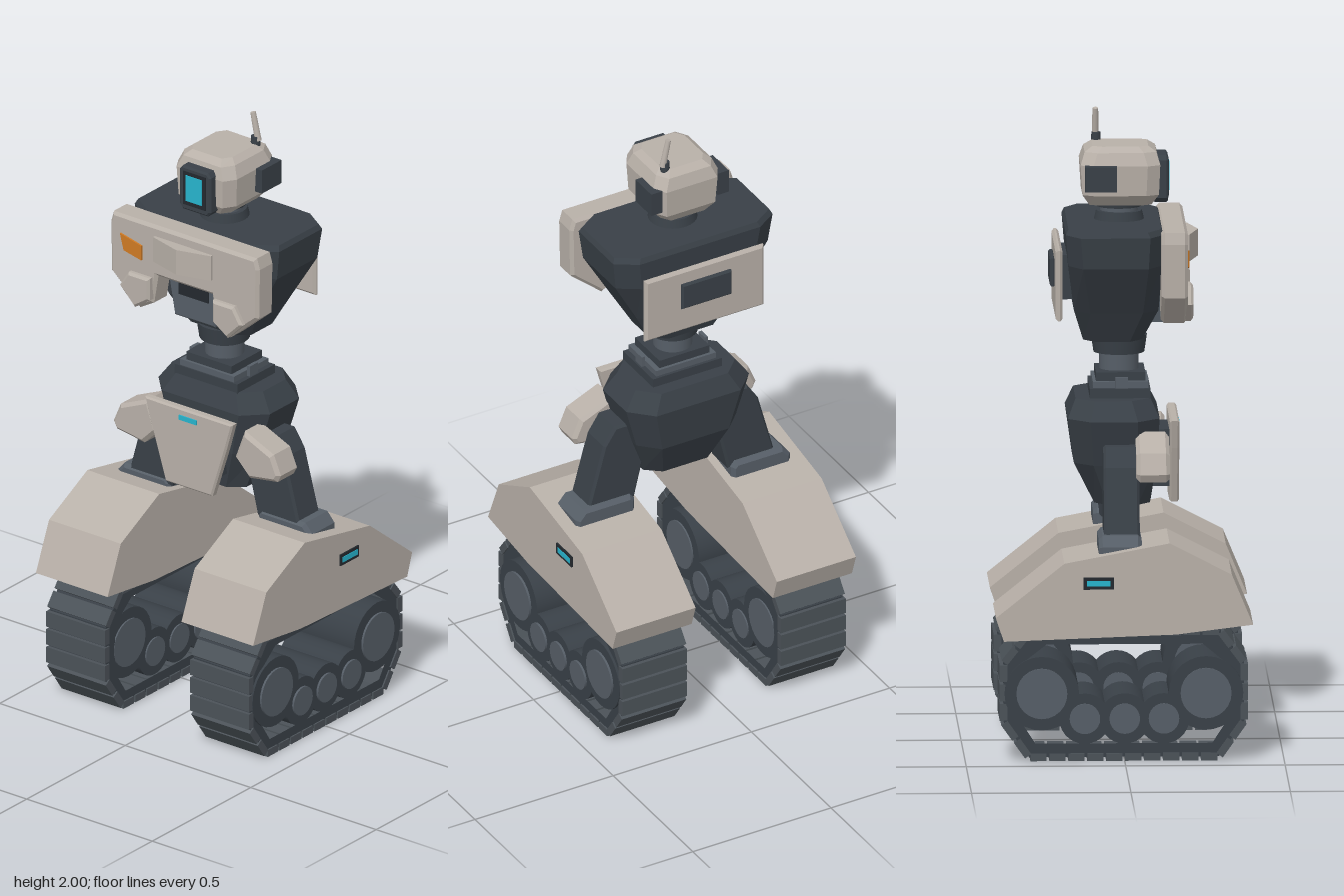
import * as THREE from 'three';

const paint = (name, color) => {
  const m = new THREE.MeshStandardMaterial({ color });
  m.name = name;
  return m;
};

export function createModel() {
  const shell = paint('warm grey shell', 0xb8b0a8);
  const dark = paint('dark frame', 0x394047);
  const steel = paint('steel grey', 0x565e67);
  const tread = paint('tread grey', 0x4b5258);
  const black = paint('near black', 0x24292e);
  const cyan = paint('cyan light', 0x27b4cd);
  const orange = paint('orange marking', 0xcf7a24);

  const root = new THREE.Group();
  root.name = 'trackedRobot';

  const add = (name, geo, mat, parent = root) => {
    const mesh = new THREE.Mesh(geo, mat);
    mesh.name = name;
    parent.add(mesh);
    return mesh;
  };
  // Box given by its extents on each axis
  const box = (name, mat, [x0, x1], [y0, y1], [z0, z1], parent) => {
    const mesh = add(name, new THREE.BoxGeometry(Math.abs(x1 - x0), y1 - y0, z1 - z0), mat, parent);
    mesh.position.set((x0 + x1) / 2, (y0 + y1) / 2, (z0 + z1) / 2);
    return mesh;
  };
  const toShape = (pts) => new THREE.Shape(pts.map(([x, y]) => new THREE.Vector2(x, y)));
  // Front outline (x, y) made solid between two z values, with an optional bevel
  const slab = (name, mat, pts, z0, z1, bevel = 0, parent) => {
    const geo = new THREE.ExtrudeGeometry(toShape(pts), {
      depth: z1 - z0 - 2 * bevel, bevelEnabled: bevel > 0, bevelSegments: 1,
      bevelSize: bevel, bevelThickness: bevel, bevelOffset: -bevel,
    });
    return add(name, geo.translate(0, 0, z0 + bevel), mat, parent);
  };
  // Side outline (z, y) made solid between two x values, with an optional hole
  const sideSlab = (name, mat, pts, x0, x1, hole, parent) => {
    const flip = ([z, y]) => [-z, y];
    const shape = toShape(pts.map(flip));
    if (hole) shape.holes.push(toShape(hole.map(flip)));
    const geo = new THREE.ExtrudeGeometry(shape, { depth: x1 - x0, bevelEnabled: false });
    return add(name, geo.rotateY(Math.PI / 2).translate(x0, 0, 0), mat, parent);
  };
  // Faceted body through chamfered rings: [y, halfWidth, zFront, zBack, chamferX, chamferZ]
  const loft = (name, mat, rings) => {
    const rows = rings.map(([y, w, f, b, cx, cz]) => [
      [w, f - cz], [w, b + cz], [w - cx, b], [cx - w, b],
      [-w, b + cz], [-w, f - cz], [cx - w, f], [w - cx, f],
    ].map(([x, z]) => [x, y, z]));
    const pos = [];
    const tri = (...corners) => corners.forEach((c) => pos.push(...c));
    for (let r = 0; r + 1 < rows.length; r++) {
      for (let i = 0; i < 8; i++) {
        const j = (i + 1) % 8;
        tri(rows[r][i], rows[r][j], rows[r + 1][j]);
        tri(rows[r][i], rows[r + 1][j], rows[r + 1][i]);
      }
    }
    const top = rows[rows.length - 1];
    for (let i = 1; i < 7; i++) {
      tri(top[0], top[i], top[i + 1]);
      tri(rows[0][0], rows[0][i + 1], rows[0][i]);
    }
    const geo = new THREE.BufferGeometry();
    geo.setAttribute('position', new THREE.Float32BufferAttribute(pos, 3));
    geo.computeVertexNormals();
    return add(name, geo, mat);
  };
  const disc = (name, mat, rTop, rBottom, y0, y1, z = -0.005) => {
    const mesh = add(name, new THREE.CylinderGeometry(rTop, rBottom, y1 - y0, 24), mat);
    mesh.position.set(0, (y0 + y1) / 2, z);
  };

  // Track units, fenders and legs, one per side
  const beltOuter = [[0.295, 0.012], [0.375, 0.125], [0.375, 0.31], [0.3, 0.41],
    [-0.3, 0.41], [-0.38, 0.31], [-0.38, 0.125], [-0.3, 0.012]];
  const beltInner = [[0.275, 0.055], [0.33, 0.14], [0.33, 0.3], [0.245, 0.37],
    [-0.245, 0.37], [-0.335, 0.3], [-0.335, 0.14], [-0.28, 0.055]];
  const wheels = [[0.255, 0.215, 0.117, 0.08], [-0.26, 0.215, 0.117, 0.08],
    [0.123, 0.135, 0.08, 0.048], [0, 0.135, 0.08, 0.048], [-0.125, 0.135, 0.08, 0.048]];
  const fender = [[0.402, 0.435], [0.335, 0.595], [0.14, 0.695], [-0.19, 0.632],
    [-0.405, 0.46], [-0.38, 0.385], [0.16, 0.405]];

  for (const s of [1, -1]) {
    const side = s > 0 ? 'left' : 'right';
    const track = new THREE.Group();
    track.name = side + 'Track';
    root.add(track);
    const cx = s * 0.287;
    sideSlab('belt', dark, beltOuter, cx - 0.112, cx + 0.112, beltInner, track);

    // Tread pads spaced along the belt
    beltOuter.forEach(([z0, y0], i) => {
      const [z1, y1] = beltOuter[(i + 1) % beltOuter.length];
      const len = Math.hypot(z1 - z0, y1 - y0);
      const n = Math.max(1, Math.round(len / 0.062));
      for (let k = 0; k < n; k++) {
        const t = (k + 0.5) / n;
        const pad = add('treadPad', new THREE.BoxGeometry(0.234, 0.024, (len / n) * 0.86), tread, track);
        pad.position.set(cx, y0 + (y1 - y0) * t, z0 + (z1 - z0) * t);
        pad.rotation.x = -Math.atan2(y1 - y0, z1 - z0);
      }
    });
    for (const [z, y, r, hub] of wheels) {
      const wheel = add('wheel', new THREE.CylinderGeometry(r, r, 0.228, 28).rotateZ(Math.PI / 2), dark, track);
      wheel.position.set(cx + s * 0.006, y, z);
      const cap = add('wheelHub', new THREE.CylinderGeometry(hub, hub, 0.24, 24).rotateZ(Math.PI / 2), steel, track);
      cap.position.set(cx + s * 0.007, y, z);
    }

    sideSlab(side + 'Fender', shell, fender, s * 0.29 - 0.143, s * 0.29 + 0.143);
    box(side + 'FenderLightFrame', black, [s * 0.43, s * 0.438], [0.55, 0.588], [-0.13, -0.035]);
    box(side + 'FenderLight', cyan, [s * 0.432, s * 0.44], [0.56, 0.578], [-0.12, -0.045]);

    const mir = (pts) => pts.map(([x, y]) => [s * x, y]);
    slab(side + 'Ankle', steel, mir([[0.175, 0.6], [0.388, 0.6], [0.388, 0.675], [0.36, 0.707], [0.19, 0.707], [0.175, 0.69]]), -0.08, 0.055, 0.012);
    slab(side + 'Leg', dark, mir([[0.17, 0.68], [0.342, 0.68], [0.28, 0.91], [0.24, 0.97], [0.1, 0.97]]), -0.062, 0.05, 0.008);
    slab(side + 'HipArmor', shell, mir([[0.153, 0.91], [0.19, 1.01], [0.305, 0.96], [0.333, 0.895], [0.32, 0.87], [0.21, 0.853]]), 0.04, 0.145, 0.012);
    slab(side + 'ChestPad', shell, mir([[0.125, 1.4], [0.185, 1.36], [0.245, 1.42], [0.21, 1.475], [0.125, 1.475]]), 0.19, 0.222, 0.008);
    box(side + 'Ear', dark, [s * 0.1, s * 0.14], [1.762, 1.842], [-0.115, -0.015]);
    box(side + 'WaistPin', steel, [s * 0.108, s * 0.12], [1.13, 1.17], [-0.02, 0.02]);
  }

  // Pelvis
  loft('pelvis', dark, [
    [0.767, 0.13, 0.09, -0.085, 0.05, 0.04],
    [0.9, 0.18, 0.11, -0.15, 0.06, 0.06],
    [1.045, 0.222, 0.118, -0.17, 0.07, 0.07],
    [1.105, 0.18, 0.09, -0.145, 0.06, 0.06],
  ]);
  box('pelvisPlateMount', dark, [-0.09, 0.09], [0.82, 1.0], [0.08, 0.155]);
  slab('pelvisPlate', shell, [[-0.175, 1.04], [0.175, 1.04], [0.15, 0.95], [0.093, 0.77], [-0.093, 0.77], [-0.15, 0.95]], 0.15, 0.18, 0.006);
  box('pelvisLight', cyan, [-0.035, 0.035], [1.002, 1.018], [0.176, 0.184]);

  // Waist joint
  box('waistBase', dark, [-0.125, 0.125], [1.1, 1.135], [-0.1, 0.09]);
  box('waistPlate', steel, [-0.108, 0.108], [1.135, 1.155], [-0.09, 0.085]);
  box('waistCollar', dark, [-0.09, 0.09], [1.155, 1.182], [-0.08, 0.075]);
  disc('waistColumn', steel, 0.062, 0.062, 1.18, 1.24);
  disc('waistRing', dark, 0.088, 0.08, 1.235, 1.29);

  // Torso and chest
  loft('torso', dark, [
    [1.285, 0.13, 0.065, -0.12, 0.05, 0.04],
    [1.385, 0.185, 0.115, -0.15, 0.06, 0.05],
    [1.54, 0.275, 0.125, -0.17, 0.07, 0.045],
    [1.64, 0.288, 0.13, -0.178, 0.07, 0.045],
    [1.657, 0.28, 0.122, -0.17, 0.07, 0.045],
  ]);
  slab('chestPlate', shell, [[-0.285, 1.657], [0.285, 1.657], [0.296, 1.62], [0.293, 1.45], [0.18, 1.353],
    [0.125, 1.385], [0.108, 1.483], [-0.108, 1.483], [-0.125, 1.385], [-0.18, 1.353], [-0.293, 1.45], [-0.296, 1.62]], 0.12, 0.203, 0.01);
  const brow = slab('chestBrow', shell, [[-0.115, 0.19], [0.115, 0.19], [0.115, 0.212], [0, 0.243], [-0.115, 0.212]], 0, 0.085);
  brow.geometry.rotateX(Math.PI / 2).translate(0, 1.622, 0);
  slab('chestMarking', orange, [[-0.25, 1.595], [-0.165, 1.575], [-0.165, 1.525], [-0.235, 1.54]], 0.2, 0.209);
  slab('bellyPanel', steel, [[-0.108, 1.49], [0.108, 1.49], [0.08, 1.34], [-0.08, 1.34]], 0.08, 0.15, 0.006);
  box('bellySlot', black, [-0.06, 0.06], [1.42, 1.46], [0.147, 0.154]);

  // Back panel
  box('backMount', dark, [-0.12, 0.12], [1.42, 1.56], [-0.195, -0.14]);
  slab('backPlate', shell, [[-0.215, 1.59], [0.215, 1.59], [0.215, 1.365], [-0.215, 1.365]], -0.21, -0.188, 0.008);
  slab('backVent', dark, [[-0.09, 1.545], [0.09, 1.545], [0.09, 1.455], [-0.09, 1.455]], -0.224, -0.208, 0.005);

  // Neck and head
  disc('neckBase', dark, 0.072, 0.08, 1.65, 1.685);
  disc('neckRing', steel, 0.06, 0.06, 1.685, 1.7);
  disc('neckTop', dark, 0.075, 0.07, 1.698, 1.722);
  loft('head', shell, [
    [1.71, 0.08, 0.095, -0.1, 0.02, 0.03],
    [1.745, 0.112, 0.118, -0.122, 0.025, 0.04],
    [1.84, 0.117, 0.122, -0.128, 0.025, 0.04],
    [1.88, 0.1, 0.11, -0.115, 0.025, 0.04],
    [1.897, 0.078, 0.085, -0.09, 0.02, 0.03],
  ]);
  slab('faceFrame', dark, [[-0.062, 1.73], [-0.05, 1.715], [0.05, 1.715], [0.062, 1.73], [0.062, 1.85], [0.05, 1.865], [-0.05, 1.865], [-0.062, 1.85]], 0.1, 0.148, 0.006);
  box('faceBezel', black, [-0.045, 0.045], [1.735, 1.85], [0.143, 0.15]);
  box('faceScreen', cyan, [-0.032, 0.032], [1.75, 1.838], [0.145, 0.153]);

  // Antenna
  const base = add('antennaBase', new THREE.CylinderGeometry(0.014, 0.016, 0.035, 12), dark);
  base.position.set(0.068, 1.903, -0.075);
  const rod = add('antennaRod', new THREE.CylinderGeometry(0.009, 0.011, 0.095, 10), shell);
  rod.position.set(0.067, 1.952, -0.077);
  rod.rotation.z = 0.22;

  return root;
}
